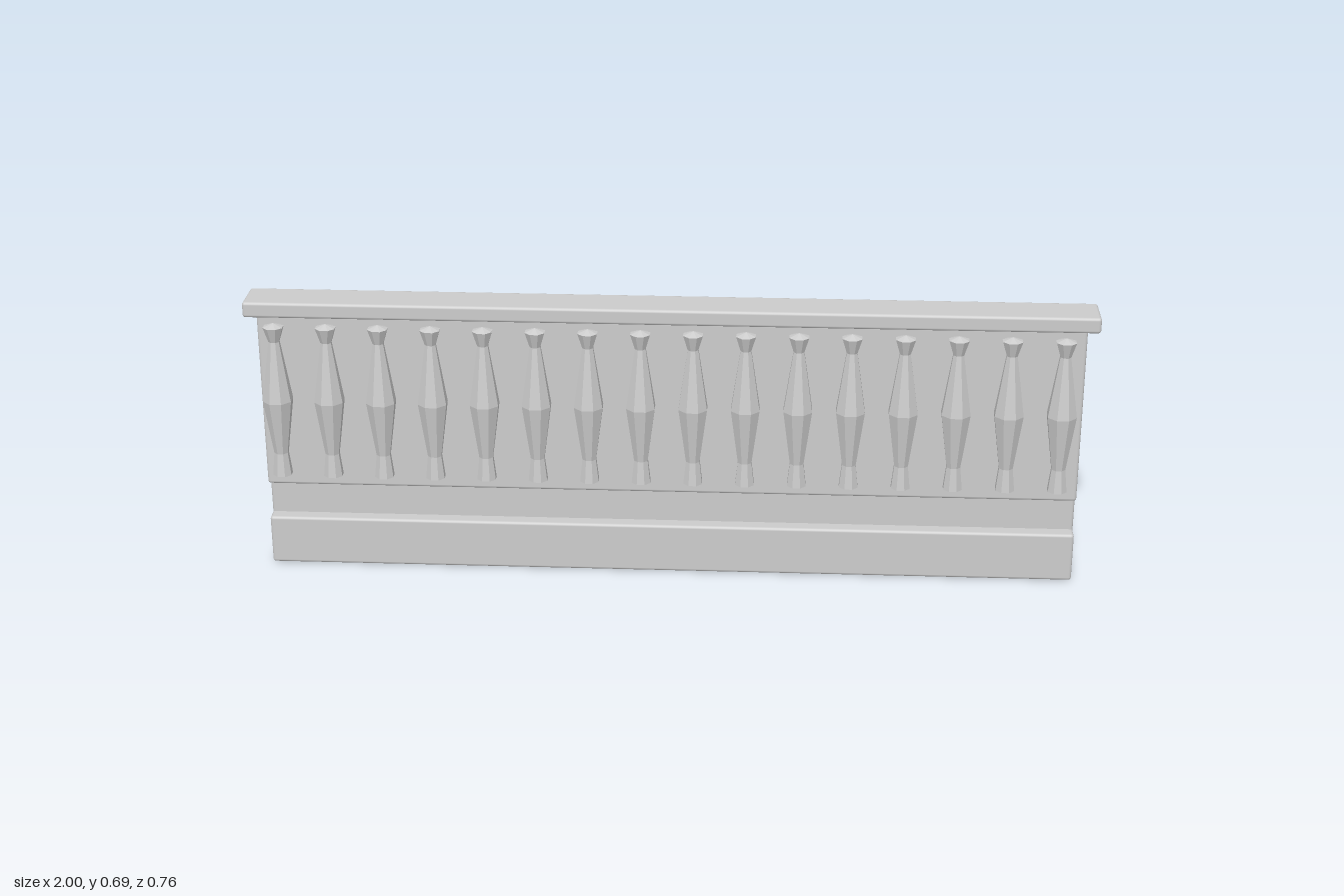
import * as THREE from 'three';
import { RoundedBoxGeometry } from 'three/addons/geometries/RoundedBoxGeometry.js';

export function createModel() {
  const group = new THREE.Group();
  group.name = 'balcony';
  const stone = new THREE.MeshStandardMaterial({ color: 0xcccccc });
  stone.name = 'pale grey stone';

  // Softly rounded block given by its extents
  function block(name, halfWidth, y0, y1, z0, z1, radius = 0.007) {
    const geometry = new RoundedBoxGeometry(halfWidth * 2, y1 - y0, z1 - z0, 2, radius);
    const mesh = new THREE.Mesh(geometry, stone);
    mesh.name = name;
    mesh.position.set(0, (y0 + y1) / 2, (z0 + z1) / 2);
    group.add(mesh);
  }

  block('floorSlab', 0.973, 0.09, 0.208, -0.381, 0.3);
  block('lowerFascia', 0.973, 0, 0.122, 0.288, 0.333);
  block('frontPanel', 0.973, 0.209, 0.647, 0.273, 0.328);
  block('handrail', 1, 0.648, 0.686, 0.249, 0.352);

  // Eight-sided faceted baluster: radius, height
  const profile = [
    [0, 0.248], [0.024, 0.248], [0.0175, 0.305], [0.0365, 0.441],
    [0.0135, 0.59], [0.025, 0.627], [0, 0.636],
  ].map(([r, y]) => new THREE.Vector2(r, y));
  const balusterGeometry = new THREE.LatheGeometry(profile, 8, Math.PI / 8).toNonIndexed();
  balusterGeometry.computeVertexNormals();

  // Row of balusters half sunk into the panel
  const count = 16;
  const balusters = new THREE.Group();
  balusters.name = 'balusters';
  for (let i = 0; i < count; i++) {
    const baluster = new THREE.Mesh(balusterGeometry, stone);
    baluster.name = 'baluster';
    baluster.position.set(-0.929 + (i * 1.851) / (count - 1), 0, 0.35);
    balusters.add(baluster);
  }
  group.add(balusters);

  return group;
}
